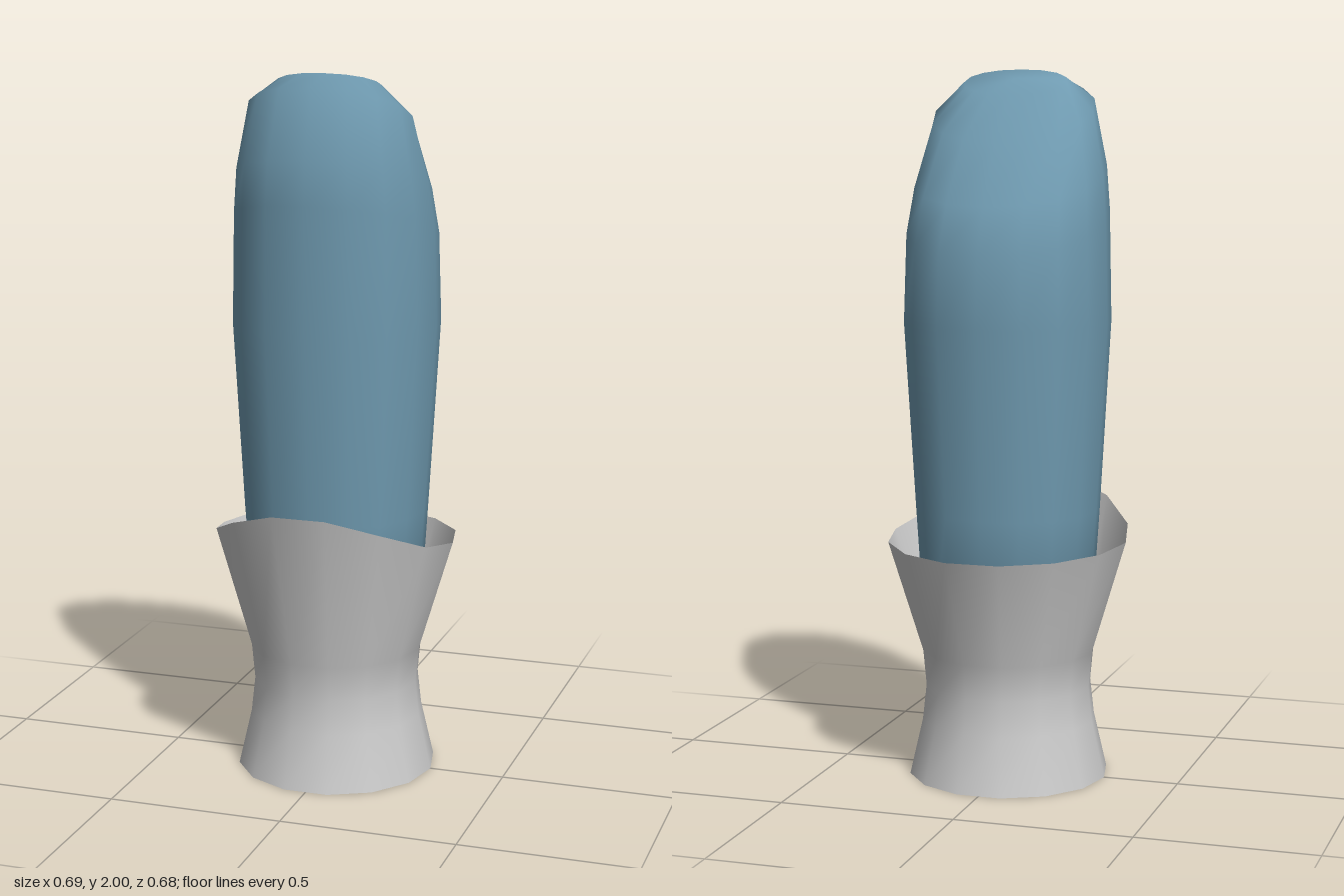
import * as THREE from 'three';

// Skins a stack of closed rings (bottom to top); optional end points close it.
function loft(rings, bottom, top) {
  const n = rings[0].length, pos = rings.flat(2), idx = [];
  for (let i = 0; i < rings.length - 1; i++) {
    for (let j = 0; j < n; j++) {
      const a = i * n + j, b = i * n + (j + 1) % n;
      idx.push(a, a + n, b, b, a + n, b + n);
    }
  }
  const close = (point, start, up) => {
    const c = pos.length / 3;
    pos.push(...point);
    for (let j = 0; j < n; j++) {
      const a = start + j, b = start + (j + 1) % n;
      idx.push(...(up ? [a, c, b] : [a, b, c]));
    }
  };
  if (bottom) close(bottom, 0, false);
  if (top) close(top, (rings.length - 1) * n, true);
  const g = new THREE.BufferGeometry();
  g.setAttribute('position', new THREE.Float32BufferAttribute(pos, 3));
  g.setIndex(idx);
  g.computeVertexNormals();
  return g;
}

// Slightly squared ring, tilted so its front and back edges sit at their own heights
function tiltedRing([zFront, yFront, zBack, yBack, halfX]) {
  const ring = [], soft = v => Math.sign(v) * Math.abs(v) ** 0.92;
  for (let j = 0; j < 16; j++) {
    const a = j / 16 * Math.PI * 2;
    const s = soft(Math.sin(a)), t = (1 - s) / 2;
    ring.push([
      soft(Math.cos(a)) * halfX,
      THREE.MathUtils.lerp(yFront, yBack, t),
      THREE.MathUtils.lerp(zFront, zBack, t),
    ]);
  }
  return ring;
}

// 14-sided ring; the rim ring rises towards the front
function sleeveRing([y, r, rim]) {
  const ring = [];
  for (let j = 0; j < 14; j++) {
    const a = j / 14 * Math.PI * 2;
    const x = Math.cos(a) * r, z = Math.sin(a) * r * 1.02;
    ring.push([x, rim ? y + (z > 0 ? 1.1 * z * z : 0.05 * z) : y, z]);
  }
  return ring;
}

export function createModel() {
  const group = new THREE.Group();
  const add = (name, geometry, material) => {
    const mesh = new THREE.Mesh(geometry, material);
    mesh.name = name;
    group.add(mesh);
  };

  // Waisted open sleeve: height, radius, slanted rim
  const sleeve = [
    [0, 0.285], [0.16, 0.248], [0.26, 0.237], [0.36, 0.246], [0.685, 0.344, true],
  ];
  add('sleeve', loft(sleeve.map(sleeveRing)),
    new THREE.MeshStandardMaterial({ color: 0xcccccc, side: THREE.DoubleSide }));

  // Rounded shaft with a slanted tip: front z, front y, back z, back y, half width
  const shaft = [
    [0.23, 0.4, -0.24, 0.4, 0.235],
    [0.258, 0.77, -0.264, 0.77, 0.258],
    [0.285, 1.3, -0.297, 1.3, 0.288],
    [0.281, 1.66, -0.286, 1.5, 0.281],
    [0.274, 1.78, -0.235, 1.63, 0.268],
    [0.22, 1.97, -0.13, 1.8, 0.23],
    [0.12, 2.0, 0, 1.93, 0.15],
  ];
  add('shaft', loft(shaft.map(tiltedRing), [0, 0.4, 0], [0, 1.975, 0.06]),
    new THREE.MeshStandardMaterial({ color: 0x6f9ab0 }));

  return group;
}
